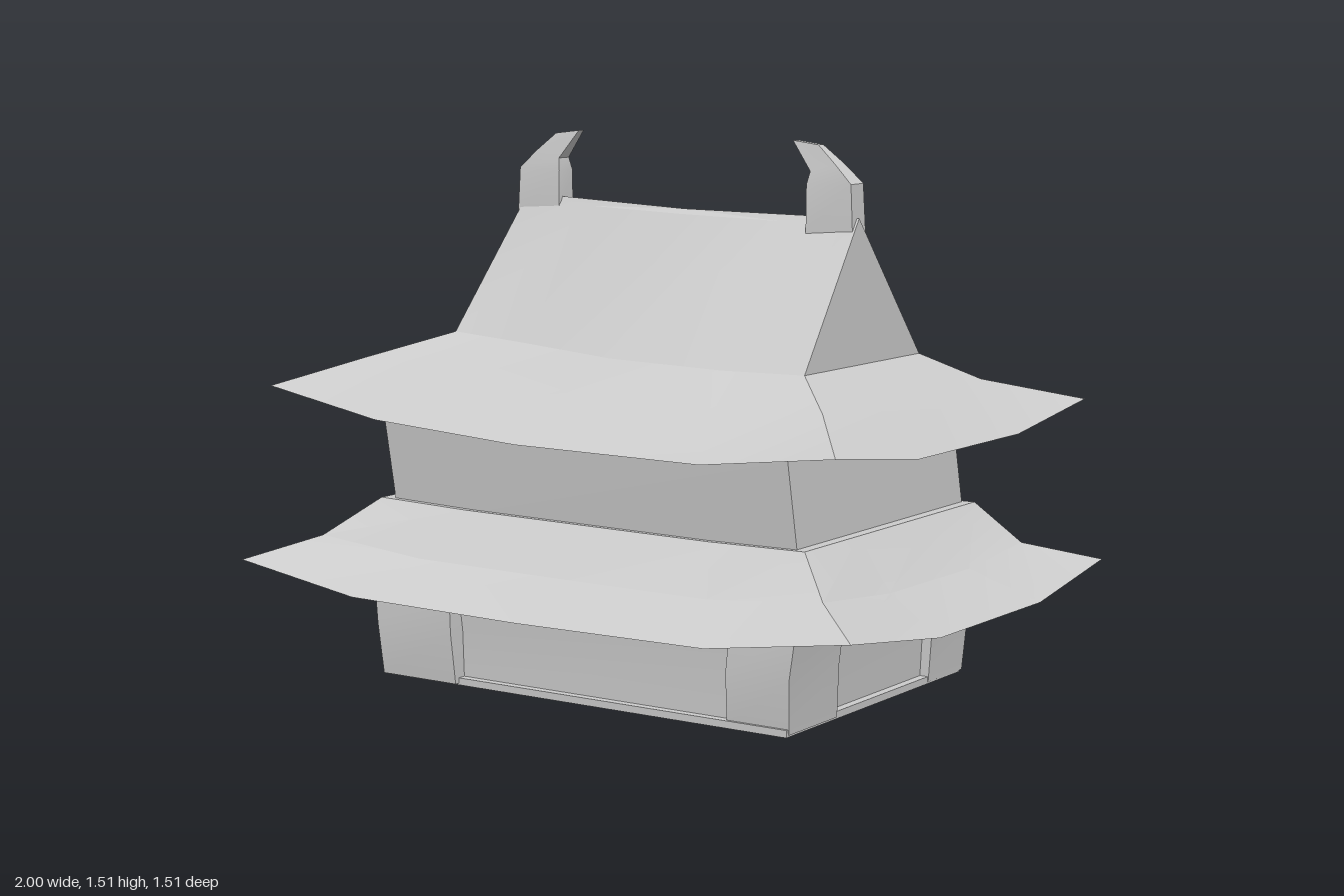
import * as THREE from 'three';
import { toCreasedNormals } from 'three/addons/utils/BufferGeometryUtils.js';

const material = new THREE.MeshStandardMaterial({ color: 0xcccccc });

// Closed skin over stacked loops of points (counter-clockwise seen from the end of the stack), capped at both ends
function loft(name, rings) {
  const pos = [];
  const tri = (a, b, c) => {
    const ab = new THREE.Vector3().subVectors(b, a), ac = new THREE.Vector3().subVectors(c, a);
    if (ab.cross(ac).length() > 1e-7) for (const p of [a, b, c]) pos.push(p.x, p.y, p.z);
  };
  const n = rings[0].length;
  const centre = (ring) => ring.reduce((s, p) => s.add(p), new THREE.Vector3()).divideScalar(n);
  const first = rings[0], last = rings[rings.length - 1];
  const c0 = centre(first), c1 = centre(last);
  for (let i = 0; i < n; i++) {
    const j = (i + 1) % n;
    for (let r = 0; r + 1 < rings.length; r++) {
      const a = rings[r], b = rings[r + 1];
      tri(a[i], a[j], b[j]);
      tri(a[i], b[j], b[i]);
    }
    tri(c0, first[j], first[i]);
    tri(c1, last[i], last[j]);
  }
  const geometry = new THREE.BufferGeometry();
  geometry.setAttribute('position', new THREE.Float32BufferAttribute(pos, 3));
  const mesh = new THREE.Mesh(toCreasedNormals(geometry, 0.35), material);
  mesh.name = name;
  return mesh;
}

const points = (list) => list.map((p) => new THREE.Vector3(...p));

// Horizontal rectangle loop
const rect = (y, x0, x1, z0, z1) => points([[x0, y, z1], [x1, y, z1], [x1, y, z0], [x0, y, z0]]);

// Roof loop: corners front left, front right, back right, back left in the drawing plane.
// Edge points between the corners bulge outward and sag below them.
const SIDES = [
  { out: [0, 1], t: [0.21, 0.5, 0.79] },
  { out: [1, 0], t: [0.3, 0.7] },
  { out: [0, -1], t: [0.21, 0.5, 0.79] },
  { out: [-1, 0], t: [0.3, 0.7] },
];
function roofRing(corners, bulge, longSag, shortSag) {
  const c = points(corners), ring = [];
  SIDES.forEach(({ out, t }, s) => {
    ring.push(c[s]);
    t.forEach((f, k) => {
      const p = c[s].clone().lerp(c[(s + 1) % 4], f);
      p.x += out[0] * bulge[s][k];
      p.z += out[1] * bulge[s][k];
      p.y -= s % 2 ? shortSag : longSag;
      ring.push(p);
    });
  });
  return ring;
}

const NONE = [[0, 0, 0], [0, 0], [0, 0, 0], [0, 0]];

export function createModel() {
  const group = new THREE.Group();
  group.name = 'twoTierHall';

  // Ground floor: thin plinth and slightly recessed walls
  group.add(loft('plinth', [rect(0, -0.65, 0.67, -0.45, 0.47), rect(0.02, -0.65, 0.67, -0.45, 0.47)]));
  group.add(loft('lowerWalls', [
    rect(0.01, -0.62, 0.645, -0.43, 0.445),
    rect(0.15, -0.62, 0.65, -0.445, 0.445),
    rect(0.3, -0.63, 0.66, -0.44, 0.455),
  ]));

  // Chunky corner posts, kinked at mid height: [inner x, outer x, inner z, outer z]
  const posts = [[-0.4, -0.655, 0.22, 0.485], [0.48, 0.672, 0.22, 0.46],
    [0.48, 0.672, -0.27, -0.462], [-0.4, -0.655, -0.25, -0.465]];
  for (const [xi, xo, zi, zo] of posts) {
    const level = (y, dx, dz) => {
      const sx = Math.sign(xo) * dx, sz = Math.sign(zo) * dz;
      const xs = [xi + sx * 0.6, xo + sx].sort((a, b) => a - b);
      const zs = [zi + sz * 0.3, zo + sz].sort((a, b) => a - b);
      return rect(y, xs[0], xs[1], zs[0], zs[1]);
    };
    group.add(loft('cornerPost', [level(0.005, 0, 0), level(0.15, 0.008, 0.015), level(0.29, 0.025, 0.008)]));
  }

  // Lower skirt roof
  group.add(loft('lowerRoof', [
    roofRing([[-0.96, 0.335, 0.73], [0.98, 0.32, 0.67], [0.98, 0.315, -0.715], [-0.95, 0.325, -0.685]],
      [[0.025, 0.05, 0.03], [0.02, 0.02], [0.05, 0, 0], [0.03, 0.042]], 0.055, 0.053),
    roofRing([[-0.79, 0.4, 0.58], [0.82, 0.385, 0.54], [0.82, 0.375, -0.53], [-0.79, 0.4, -0.54]],
      [[0, 0.01, 0.01], [0.01, 0.01], [0.01, 0, 0], [0.01, 0.01]], 0.03, 0.025),
    roofRing([[-0.66, 0.505, 0.48], [0.71, 0.49, 0.45], [0.71, 0.49, -0.455], [-0.65, 0.505, -0.46]], NONE, 0.006, 0),
  ]));

  // Upper floor
  group.add(loft('upperWalls', [
    points([[-0.62, 0.47, 0.46], [0.68, 0.47, 0.435], [0.68, 0.47, -0.44], [-0.62, 0.47, -0.45]]),
    points([[-0.645, 0.78, 0.49], [0.662, 0.76, 0.465], [0.662, 0.76, -0.405], [-0.645, 0.78, -0.42]]),
  ]));

  // Upper roof: flared skirt rising into a gable with a sagging ridge
  const ridgeLeft = [-0.535, 1.33, -0.045], ridgeRight = [0.63, 1.315, 0.055];
  group.add(loft('upperRoof', [
    roofRing([[-0.935, 0.815, 0.625], [0.955, 0.785, 0.708], [0.957, 0.78, -0.635], [-0.93, 0.81, -0.66]],
      [[0.008, 0.083, 0.02], [0.005, 0.005], [0.02, 0, 0.02], [0.035, 0.04]], 0.055, 0.05),
    roofRing([[-0.77, 0.885, 0.4], [0.77, 0.852, 0.465], [0.765, 0.85, -0.38], [-0.74, 0.885, -0.41]],
      [[-0.015, 0.065, 0.03], [0.03, 0.03], [0.02, 0.01, 0.01], [0.03, 0.02]], 0.012, 0.015),
    roofRing([[-0.572, 0.955, 0.25], [0.64, 0.928, 0.342], [0.64, 0.925, -0.255], [-0.575, 0.955, -0.3]],
      [[-0.01, 0.06, 0.025], [0, 0], [0, -0.02, -0.02], [0, 0]], 0.01, 0),
    roofRing([ridgeLeft, ridgeRight, ridgeRight, ridgeLeft],
      [[0.012, 0.035, 0.02], [0, 0], [-0.02, -0.035, -0.012], [0, 0]], 0.022, 0),
  ]));

  // Hooked ridge ends: stations of [outer x, y, inner x, y, half depth], hooks pointing inward
  const hook = [[0.625, 1.27, 0.48, 1.27, 0.034], [0.618, 1.405, 0.48, 1.4, 0.032],
    [0.565, 1.455, 0.487, 1.435, 0.024], [0.505, 1.505, 0.425, 1.515, 0.012]];
  for (const [name, side, dx, z] of [['rightEndFinial', 1, 0, 0.047], ['leftEndFinial', -1, 0.078, -0.048]]) {
    group.add(loft(name, hook.map(([xo, yo, xi, yi, h]) => {
      const a = side * (xo - dx), b = side * (xi - dx);
      const loop = [[b, yi, z + h], [a, yo, z + h], [a, yo, z - h], [b, yi, z - h]];
      return points(side > 0 ? loop : loop.reverse());
    })));
  }
  return group;
}
